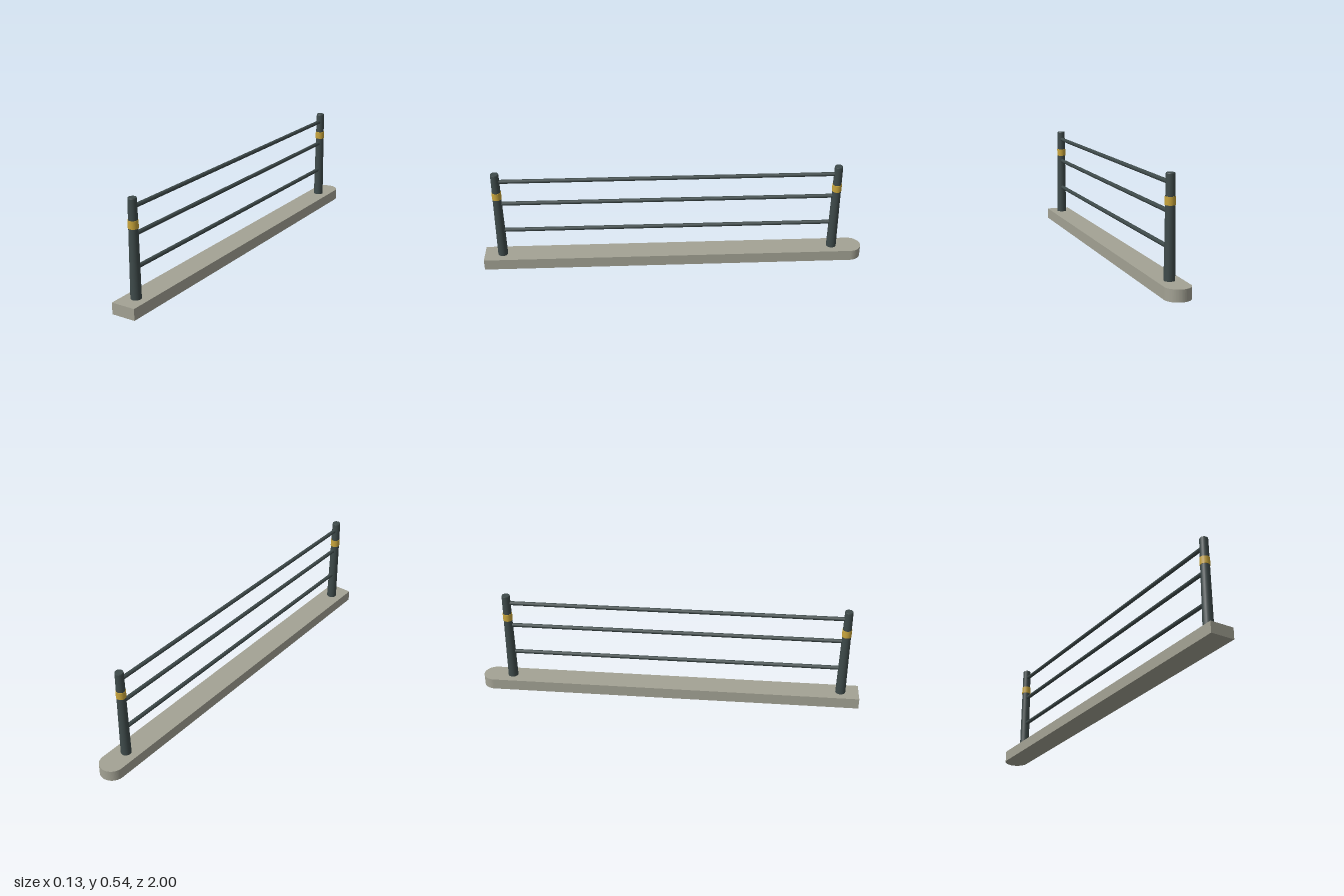
import * as THREE from 'three';

const material = (name, color) => {
  const m = new THREE.MeshStandardMaterial({ color });
  m.name = name;
  return m;
};

export function createModel() {
  const concrete = material('concrete', 0xa3a294);
  const steel = material('dark steel', 0x3e4a4a);
  const yellow = material('yellow band', 0xc9a53c);
  const group = new THREE.Group();
  group.name = 'kerbRailing';

  const add = (parent, name, geometry, mat, x = 0, y = 0, z = 0) => {
    const mesh = new THREE.Mesh(geometry, mat);
    mesh.name = name;
    mesh.position.set(x, y, z);
    parent.add(mesh);
    return mesh;
  };

  // Kerb: square at the front, rounded at the back
  const w = 0.063, kerbTop = 0.058;
  const outline = new THREE.Shape();
  outline.moveTo(-w, -1);
  outline.lineTo(w, -1);
  outline.lineTo(w, 1 - w);
  outline.absarc(0, 1 - w, w, 0, Math.PI, false);
  outline.closePath();
  const kerb = new THREE.ExtrudeGeometry(outline, { depth: kerbTop, bevelEnabled: false, curveSegments: 16 });
  kerb.rotateX(-Math.PI / 2);
  add(group, 'kerb', kerb, concrete);

  // Tapered posts, each with a small cap and a coloured band
  const postFront = 0.905, postBack = -0.842;
  for (const [name, z] of [['frontPost', postFront], ['backPost', postBack]]) {
    const post = new THREE.Group();
    post.name = name;
    post.position.z = z;
    group.add(post);
    add(post, 'postShaft', new THREE.CylinderGeometry(0.0212, 0.0262, 0.482, 20), steel, 0, 0.297, 0);
    add(post, 'postCap', new THREE.CylinderGeometry(0.0195, 0.0212, 0.005, 20), steel, 0, 0.5405, 0);
    add(post, 'postBand', new THREE.CylinderGeometry(0.0245, 0.0245, 0.039, 20), yellow, 0, 0.4185, 0);
  }

  // Three horizontal rails running between the posts
  for (const y of [0.207, 0.368, 0.498]) {
    const rail = new THREE.CylinderGeometry(0.0105, 0.0105, postFront - postBack, 12);
    rail.rotateX(Math.PI / 2);
    add(group, 'rail', rail, steel, 0, y, (postFront + postBack) / 2);
  }
  return group;
}
